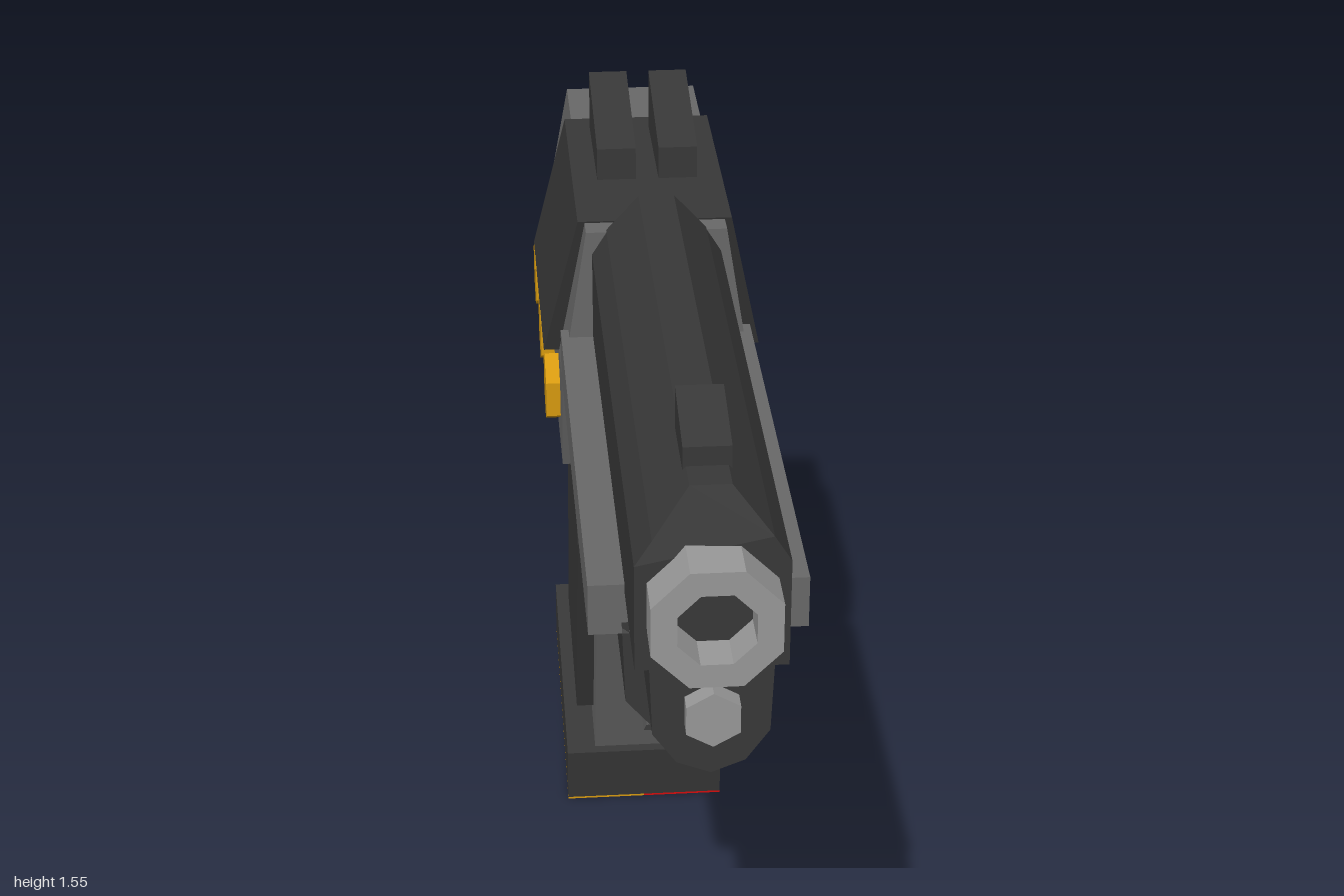
import * as THREE from 'three';

const mat = (name, color, side = THREE.FrontSide) => {
  const m = new THREE.MeshStandardMaterial({ color, flatShading: true, side });
  m.name = name;
  return m;
};

export function createModel() {
  const model = new THREE.Group();
  model.name = 'toyPistol';
  const dark = mat('charcoal', 0x383838);
  const grey = mat('midGrey', 0x686868);
  const light = mat('lightSteel', 0x989898);
  const gold = mat('gold', 0xd79a10);
  const red = mat('red', 0xd60c0c);

  const add = (name, geo, material) => {
    const mesh = new THREE.Mesh(geo, material);
    mesh.name = name;
    model.add(mesh);
    return mesh;
  };
  const extrude = (pts, depth) => new THREE.ExtrudeGeometry(
    new THREE.Shape(pts.map(p => new THREE.Vector2(p[0], p[1]))), { depth, bevelEnabled: false });

  // Side profile of [z, y] points, spanning x0 to x1
  const profile = (pts, x0, x1) =>
    extrude(pts.map(([z, y]) => [-z, y]), x1 - x0).rotateY(Math.PI / 2).translate(x0, 0, 0);

  // Side profile whose half width runs from wBottom at yBottom to wTop at yTop
  const tapered = (pts, yBottom, wBottom, yTop, wTop) => {
    const geo = profile(pts, -1, 1);
    const p = geo.attributes.position;
    for (let i = 0; i < p.count; i++) {
      const w = THREE.MathUtils.mapLinear(p.getY(i), yBottom, yTop, wBottom, wTop);
      p.setX(i, p.getX(i) * w);
    }
    geo.computeVertexNormals();
    return geo;
  };

  // Mirrored cross-section: right half [x, y] from top to bottom, spanning z0 to z1
  const section = (half, z0, z1) => {
    const other = half.filter(p => p[0] > 0).map(([x, y]) => [-x, y]).reverse();
    return extrude([...half, ...other], z1 - z0).translate(0, 0, z0);
  };

  // Slide with a sloped front top edge
  const slide = section([[0.03, 1.49], [0.085, 1.43], [0.11, 1.39], [0.11, 1.22]], -0.12, 0.93);
  const sp = slide.attributes.position;
  for (let i = 0; i < sp.count; i++) {
    if (sp.getY(i) > 1.45 && sp.getZ(i) > 0) sp.setZ(i, 0.885);
  }
  slide.computeVertexNormals();
  add('slide', slide, dark);

  // Under-barrel pieces and side rails
  add('noseBlock', section([[0.09, 1.24], [0.085, 1.11], [0.05, 1.06], [0, 1.04]], 0.6, 0.93), dark);
  add('lowerFrame', section([[0.115, 1.17], [0.11, 1.03], [0.06, 0.97], [0, 0.95]], -0.25, 0.72), dark);
  add('sideRails', new THREE.BoxGeometry(0.33, 0.085, 0.86).translate(0, 1.193, 0.29), grey);

  // Muzzle ring and bore, octagonal
  const muzzle = new THREE.LatheGeometry([[0.1, 0.9], [0.1, 1.0], [0.06, 1.0], [0.06, 0.935]]
    .map(([r, h]) => new THREE.Vector2(r, h)), 8, Math.PI / 8);
  add('muzzle', muzzle.rotateX(Math.PI / 2).translate(0, 1.325, 0),
    mat('lightSteelOpen', 0x989898, THREE.DoubleSide));
  add('bore', new THREE.CircleGeometry(0.062, 8, Math.PI / 8).translate(0, 1.325, 0.937), dark);
  add('guideRod', new THREE.CylinderGeometry(0.045, 0.045, 0.06, 6)
    .rotateX(Math.PI / 2).translate(0, 1.15, 0.93), light);

  // Sights
  add('frontSight', profile([[0.83, 1.47], [0.83, 1.52], [0.7, 1.55], [0.7, 1.47]], -0.035, 0.035), dark);
  for (const s of [-1, 1]) {
    add('rearSight', profile([[-0.33, 1.42], [-0.33, 1.49], [-0.575, 1.54], [-0.575, 1.42]],
      -0.034, 0.034).translate(s * 0.054, 0, 0), dark);
  }

  // Rear body, dark saddle over it, and hammer
  add('upperBody', tapered([[-0.11, 1.43], [-0.78, 1.43], [-0.85, 1.15], [-0.11, 1.15]],
    1.15, 0.165, 1.43, 0.12), grey);
  add('lowerBody', profile([[-0.11, 1.15], [-0.85, 1.15], [-0.98, 0.955], [-0.17, 0.955]],
    -0.165, 0.165), grey);
  add('saddle', tapered([[-0.15, 1.433], [-0.62, 1.433], [-0.705, 1.152], [-0.235, 1.152]],
    1.152, 0.192, 1.433, 0.132), dark);
  add('hammer', profile([[-0.79, 1.33], [-0.82, 1.325], [-0.92, 1.3], [-0.955, 1.312], [-0.98, 1.305],
    [-0.98, 1.28], [-0.83, 1.22], [-0.79, 1.22]], -0.05, 0.05), dark);

  // Hexagonal bolts on both sides
  for (const s of [-1, 1]) {
    for (const z of [-0.275, -0.52, -0.76]) {
      add('bolt', new THREE.CylinderGeometry(0.065, 0.065, 0.05, 6)
        .rotateY(Math.PI / 2).rotateZ(Math.PI / 2).translate(s * 0.165, 1.06, z), gold);
    }
  }

  // Safety lever on the left side only
  add('safetyLever', profile([[0.09, 1.118], [-0.09, 1.128], [-0.085, 1.03], [0.09, 1.045]],
    0.1, 0.15), light);

  // Grip: tapered upper part and straight lower part
  add('upperGrip', tapered([[-0.17, 0.96], [-0.8, 0.96], [-0.75, 0.83], [-0.8, 0.67], [-0.275, 0.67]],
    0.67, 0.1, 0.96, 0.132), grey);
  add('lowerGrip', profile([[-0.275, 0.67], [-0.8, 0.67], [-0.95, 0.19], [-0.48, 0.11]], -0.1, 0.1), grey);
  add('gripPanels', profile([[-0.34, 0.956], [-0.72, 0.956], [-0.67, 0.825], [-0.86, 0.26],
    [-0.52, 0.2], [-0.35, 0.68]], -0.134, 0.134), dark);

  // Magazine base with a two-colour underside
  add('magazineBase', profile([[-0.455, 0.127], [-0.975, 0.217], [-0.995, 0.097], [-0.475, 0.004]],
    -0.157, 0.157), dark);
  const plate = [[-0.475, 0.004], [-0.995, 0.097], [-0.995, 0.093], [-0.475, 0]];
  add('redBasePlate', profile(plate, 0, 0.157), red);
  add('goldBasePlate', profile(plate, -0.157, 0), gold);

  // Trigger guard and trigger
  add('triggerGuard', profile([[0.305, 0.97], [0.24, 0.66], [0.175, 0.605], [-0.205, 0.605], [-0.3, 0.655],
    [-0.3, 0.725], [-0.2, 0.665], [0.18, 0.665], [0.19, 0.69], [0.243, 0.97]], -0.045, 0.045), grey);
  add('trigger', profile([[-0.045, 0.97], [-0.16, 0.97], [-0.155, 0.89], [-0.085, 0.78], [-0.03, 0.735],
    [0.03, 0.735], [0.065, 0.75], [0, 0.768], [-0.04, 0.82], [-0.055, 0.88]], -0.03, 0.03), red);

  return model;
}
